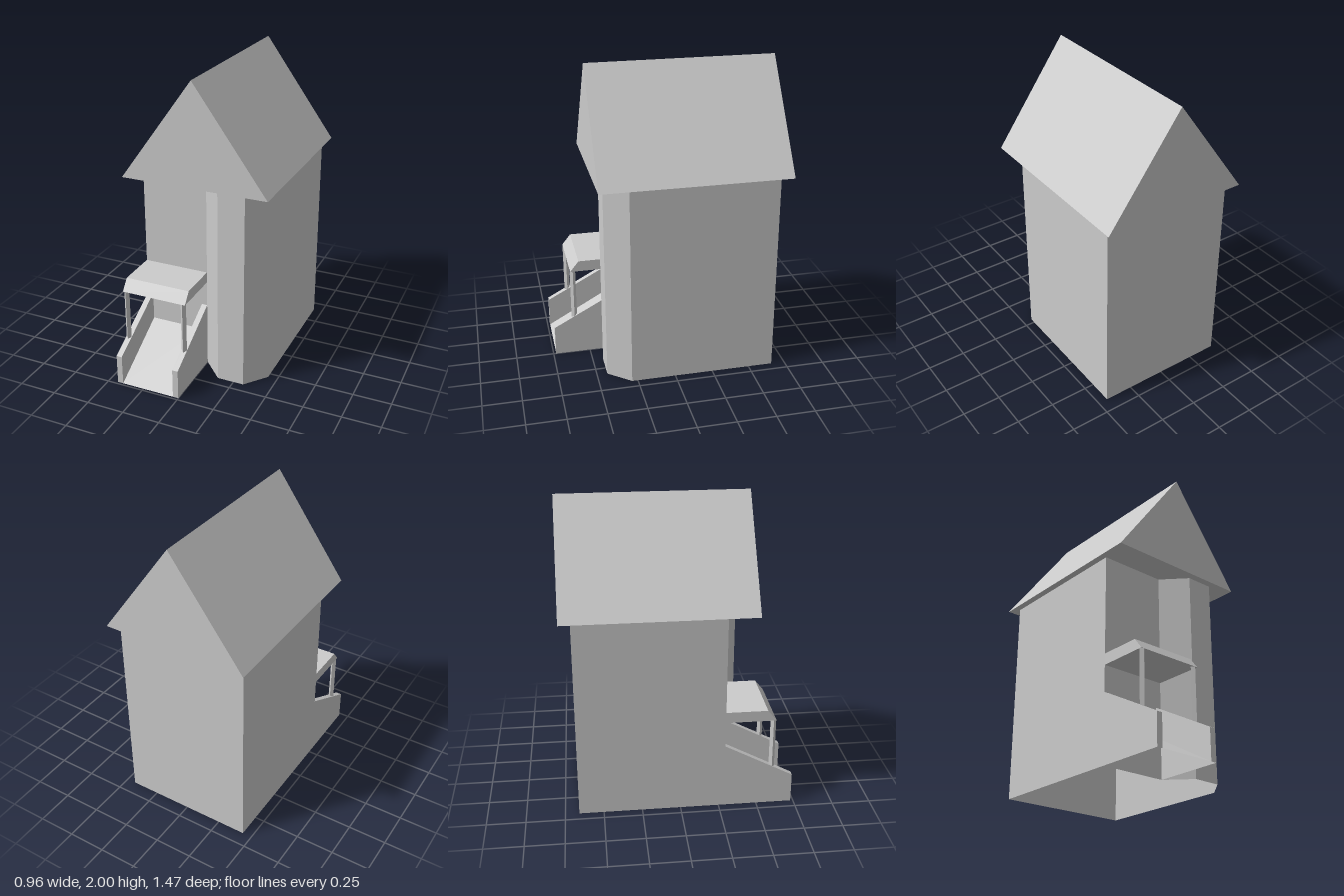
import * as THREE from 'three';

const grey = new THREE.MeshStandardMaterial({ color: 0xcccccc, flatShading: true });
const greyOpen = new THREE.MeshStandardMaterial({ color: 0xcccccc, flatShading: true, side: THREE.DoubleSide });

// Shared measures
const HALF = 0.437, BACK = -0.66, WALL = 0.288, BAY = 0.432, EAVES = 1.336;
const RAMP_END = 0.733, RAMP_TOP = 0.25, RAIL = 0.038;

function add(parent, name, geometry, material = grey) {
  const mesh = new THREE.Mesh(geometry, material);
  mesh.name = name;
  parent.add(mesh);
  return mesh;
}

// Open surface made of flat convex polygons
function sheet(polygons) {
  const pos = [];
  for (const p of polygons) {
    for (let i = 1; i < p.length - 1; i++) pos.push(...p[0], ...p[i], ...p[i + 1]);
  }
  const g = new THREE.BufferGeometry();
  g.setAttribute('position', new THREE.Float32BufferAttribute(pos, 3));
  g.computeVertexNormals();
  return g;
}

function prism(points, depth) {
  const shape = new THREE.Shape(points.map(([x, y]) => new THREE.Vector2(x, y)));
  return new THREE.ExtrudeGeometry(shape, { depth, bevelEnabled: false });
}

// Thin-walled rail beside the ramp, open underneath
function railGeometry(outer, inner) {
  const side = (x, low) => [[x, 0, RAMP_END], [x, 0.2, RAMP_END], [x, 0.44, WALL], [x, low, WALL]];
  const a = side(outer, 0), b = side(inner, RAMP_TOP);
  const front = [a[0], b[0], b[1], a[1]];
  const top = [a[1], b[1], b[2], a[2]];
  const faces = [a, [...b].reverse(), front, top];
  // Keep the faces turned outward on the mirrored rail
  return sheet(outer < inner ? faces.map((f, i) => (i < 2 ? [...f].reverse() : f)) : faces.map((f, i) => (i < 2 ? f : [...f].reverse())));
}

export function createModel() {
  const house = new THREE.Group();
  house.name = 'house';

  // Walls with a canted bay beside the entrance, open at the bottom
  const plan = [
    [-HALF, BACK], [-HALF, WALL], [0, WALL], [0.14, BAY],
    [0.318, BAY], [HALF, WALL], [HALF, BACK],
  ];
  add(house, 'walls', sheet(plan.map(([x, z], i) => {
    const [x2, z2] = plan[(i + 1) % plan.length];
    return [[x, 0, z], [x2, 0, z2], [x2, EAVES, z2], [x, EAVES, z]];
  })), greyOpen);

  // Gabled main roof
  const roof = add(house, 'roof', prism([[-0.48, EAVES], [0.48, EAVES], [0, 2]], 1.213));
  roof.position.z = -0.733;

  // Porch over the left half of the front
  const porch = new THREE.Group();
  porch.name = 'porch';
  house.add(porch);

  const canopy = prism([[WALL, 0.61], [0.613, 0.61], [0.556, 0.682], [WALL, 0.682]], HALF);
  canopy.rotateY(-Math.PI / 2);
  add(porch, 'porchRoof', canopy);

  const l = -HALF + RAIL, r = -RAIL;
  add(porch, 'ramp', sheet([[
    [l, 0, RAMP_END], [r, 0, RAMP_END], [r, RAMP_TOP, WALL], [l, RAMP_TOP, WALL],
  ]]), greyOpen);

  // Rails and slim four-sided posts
  for (const [outer, inner] of [[-HALF, l], [0, r]]) {
    add(porch, 'rail', railGeometry(outer, inner), greyOpen);
    const post = add(porch, 'post', new THREE.CylinderGeometry(0.0185, 0.0185, 0.35, 4));
    post.position.set((outer + inner) / 2, 0.435, 0.596);
  }

  return house;
}
